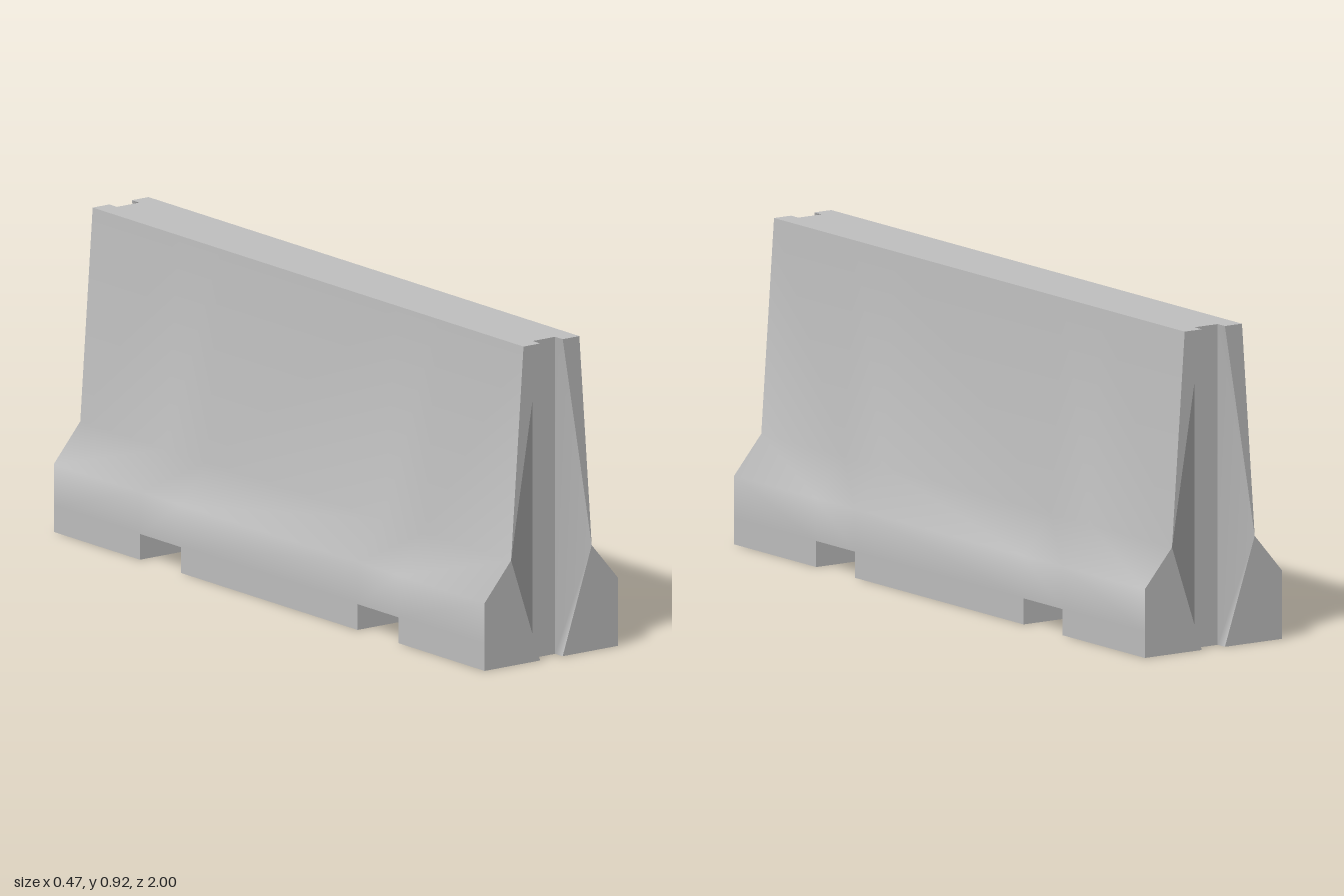
import * as THREE from 'three';

// Half cross-section, bottom to top: [x, y]
const PROFILE = [[0.237, 0], [0.237, 0.075], [0.237, 0.197], [0.143, 0.307], [0.099, 0.922]];
const Z_CUTS = [-1, -0.6, -0.41, 0.41, 0.6, 1];
const NOTCH_TOP = 0.075;
const WIDTH = 0.474;
const GROOVE_X = 0.04;
const GROOVE_Z = 0.965;
const TOP = 0.922;

export function createModel() {
  const concrete = new THREE.MeshStandardMaterial({ color: 0xc0c0c0 });
  concrete.name = 'concrete grey';
  const model = new THREE.Group();
  model.name = 'roadBarrier';

  const add = (parent, geometry, name) => {
    const mesh = new THREE.Mesh(geometry, concrete);
    mesh.name = name;
    parent.add(mesh);
    return mesh;
  };

  // Smooth indexed surface; side = -1 mirrors it in x and flips the winding
  const surface = (points, faces, side) => {
    const geometry = new THREE.BufferGeometry();
    const flat = points.flatMap(([x, y, z]) => [x * side, y, z]);
    geometry.setAttribute('position', new THREE.Float32BufferAttribute(flat, 3));
    geometry.setIndex(faces.flatMap(([a, b, c]) => (side > 0 ? [a, b, c] : [a, c, b])));
    geometry.computeVertexNormals();
    return geometry;
  };

  const outline = (points) => new THREE.ShapeGeometry(
    new THREE.Shape(points.map(([x, y]) => new THREE.Vector2(x, y))));

  // Long sloping sides, open where the lifting notches pass through
  for (const side of [1, -1]) {
    const points = [];
    const faces = [];
    const n = Z_CUTS.length;
    for (const [x, y] of PROFILE) for (const z of Z_CUTS) points.push([x, y, z]);
    for (let row = 0; row < PROFILE.length - 1; row++) {
      for (let col = 0; col < n - 1; col++) {
        if (row === 0 && col % 2 === 1) continue;
        const a = row * n + col;
        faces.push([a, a + n, a + n + 1], [a, a + n + 1, a + 1]);
      }
    }
    add(model, surface(points, faces, side), side > 0 ? 'leftSide' : 'rightSide');
  }

  // Flat top with the end grooves cut out
  const tx = PROFILE[4][0];
  const top = outline([
    [-tx, -1], [-GROOVE_X, -1], [-GROOVE_X, -GROOVE_Z], [GROOVE_X, -GROOVE_Z], [GROOVE_X, -1], [tx, -1],
    [tx, 1], [GROOVE_X, 1], [GROOVE_X, GROOVE_Z], [-GROOVE_X, GROOVE_Z], [-GROOVE_X, 1], [-tx, 1],
  ]);
  add(model, top.rotateX(-Math.PI / 2).translate(0, TOP, 0), 'top');

  // Middle foot underside
  add(model, new THREE.PlaneGeometry(WIDTH, 0.82).rotateX(Math.PI / 2), 'middleFootBase');

  for (const turn of [0, Math.PI]) {
    const end = new THREE.Group();
    end.name = turn ? 'backEnd' : 'frontEnd';
    end.rotation.y = turn;
    model.add(end);

    // End foot underside, with the groove mouth
    const h = WIDTH / 2;
    const foot = outline([
      [-h, 0.6], [h, 0.6], [h, 1], [GROOVE_X, 1], [GROOVE_X, GROOVE_Z],
      [-GROOVE_X, GROOVE_Z], [-GROOVE_X, 1], [-h, 1],
    ]);
    add(end, foot.rotateX(Math.PI / 2), 'endFootBase');

    // Lifting notch: ceiling and two walls
    add(end, new THREE.PlaneGeometry(WIDTH, 0.19).rotateX(Math.PI / 2)
      .translate(0, NOTCH_TOP, 0.505), 'notchCeiling');
    const wall = new THREE.PlaneGeometry(WIDTH, NOTCH_TOP);
    add(end, wall.clone().translate(0, NOTCH_TOP / 2, 0.41), 'notchInnerWall');
    add(end, wall.clone().rotateY(Math.PI).translate(0, NOTCH_TOP / 2, 0.6), 'notchOuterWall');

    // Back of the joint groove
    add(end, new THREE.PlaneGeometry(GROOVE_X * 2, TOP).translate(0, TOP / 2, GROOVE_Z), 'grooveBack');

    for (const side of [1, -1]) {
      // Flat end faces above and below the widest point of the groove
      const face = [
        [GROOVE_X, 0, 1], [0.237, 0, 1], [0.237, 0.197, 1], [0.143, 0.307, 1],
        [tx, TOP, 1], [GROOVE_X, TOP, 1],
      ];
      add(end, surface(face, [[0, 1, 2], [0, 2, 3], [3, 4, 5]], side), 'endFace');

      // Flared groove wall
      const flare = [
        [GROOVE_X, 0, GROOVE_Z], [GROOVE_X, TOP, GROOVE_Z],
        [GROOVE_X, 0, 1], [0.143, 0.307, 1], [GROOVE_X, TOP, 1],
      ];
      add(end, surface(flare, [[0, 2, 3], [0, 3, 1], [1, 3, 4]], side), 'grooveWall');
    }
  }
  return model;
}
